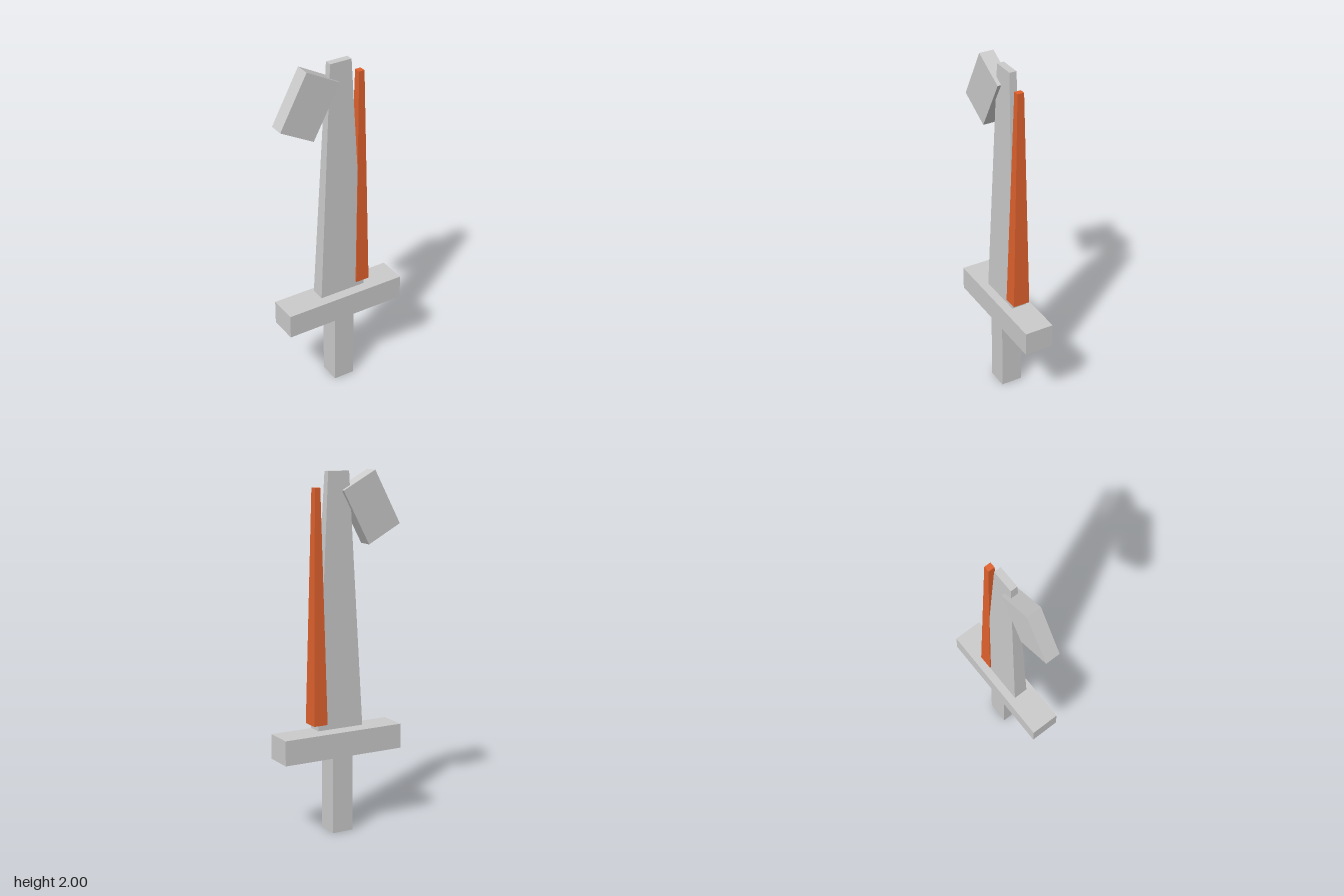
import * as THREE from 'three';

const grey = new THREE.MeshStandardMaterial({ color: 0xcccccc, flatShading: true });
const orange = new THREE.MeshStandardMaterial({ color: 0xe0622d, flatShading: true });

// Box between y0 and y1 whose upper end may differ from its base: [xMin, xMax, halfDepth]
function taperedBar(name, y0, y1, base, top = base, material = grey) {
  const geometry = new THREE.BoxGeometry(1, 1, 1);
  const p = geometry.attributes.position;
  for (let i = 0; i < p.count; i++) {
    const [xMin, xMax, halfDepth] = p.getY(i) > 0 ? top : base;
    p.setXYZ(
      i,
      p.getX(i) > 0 ? xMax : xMin,
      p.getY(i) > 0 ? y1 : y0,
      Math.sign(p.getZ(i)) * halfDepth
    );
  }
  geometry.computeVertexNormals();
  const mesh = new THREE.Mesh(geometry, material);
  mesh.name = name;
  return mesh;
}

export function createModel() {
  const sword = new THREE.Group();
  sword.name = 'sword';

  // Handle and crossguard
  sword.add(taperedBar('grip', 0, 0.44, [-0.06, 0.065, 0.063]));
  sword.add(taperedBar('crossguard', 0.44, 0.58, [-0.362, 0.368, 0.084]));

  // Blade floating just above the guard, with a coloured cutting edge
  sword.add(taperedBar('blade', 0.595, 2, [-0.135, 0.145, 0.042], [-0.06, 0.068, 0.02]));
  sword.add(taperedBar('cuttingEdge', 0.625, 1.915, [0.09, 0.173, 0.049], [0.115, 0.148, 0.019], orange));

  // Tilted block at the tip
  const tip = new THREE.Mesh(new THREE.BoxGeometry(0.222, 0.336, 0.084), grey);
  tip.name = 'tipBlock';
  tip.position.set(-0.192, 1.801, 0);
  tip.rotation.z = THREE.MathUtils.degToRad(-28.3);
  sword.add(tip);

  return sword;
}
